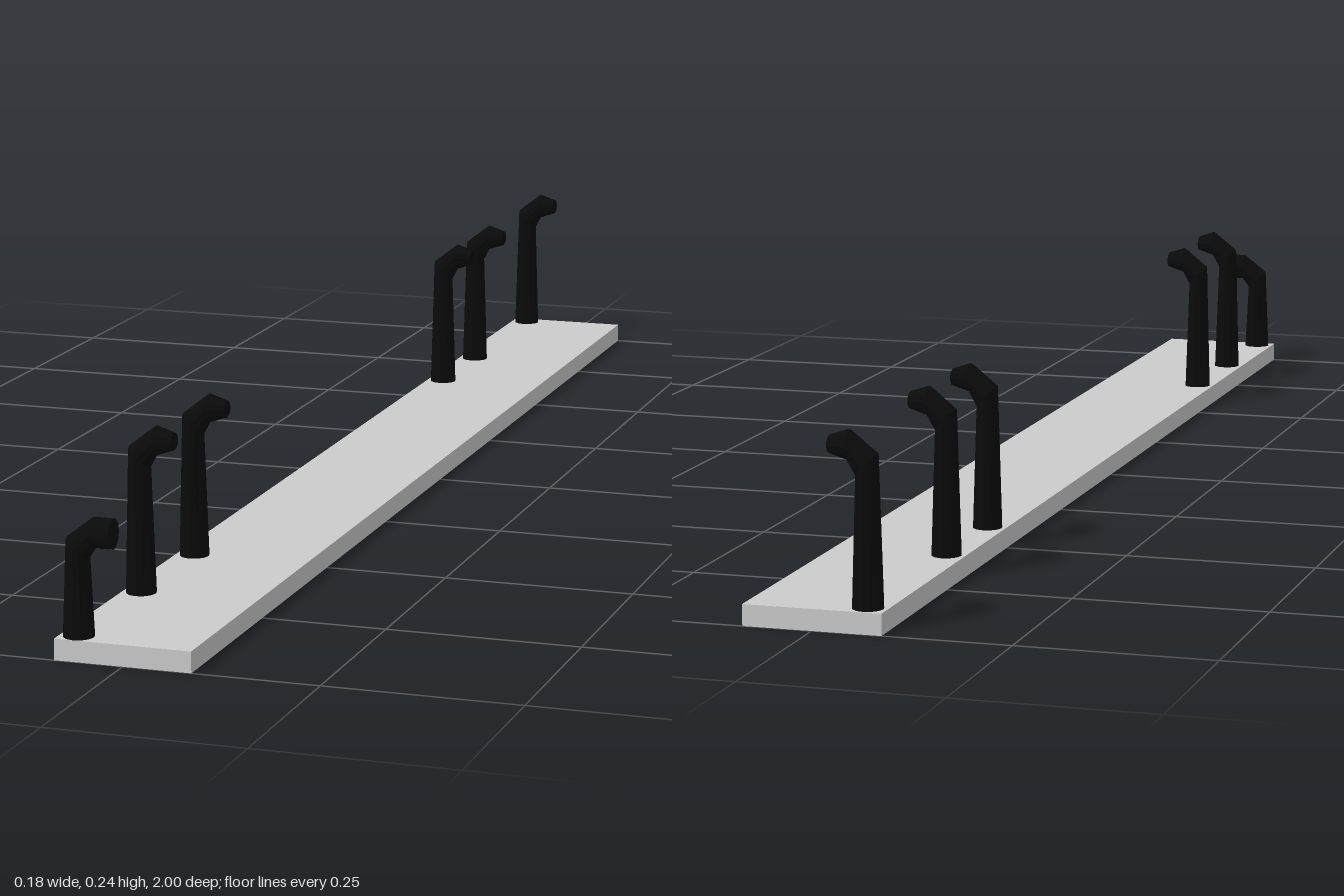
import * as THREE from 'three';

const SIDES = 12;

// Lofts elliptical rings; each ring is [outerX, outerY, innerX, innerY, halfDepth].
function bentPipe(rings) {
  const pos = [], index = [];
  for (const [ox, oy, ix, iy, d] of rings) {
    const cx = (ox + ix) / 2, cy = (oy + iy) / 2;
    for (let j = 0; j < SIDES; j++) {
      const a = (j / SIDES) * Math.PI * 2, c = Math.cos(a);
      pos.push(cx + (ox - cx) * c, cy + (oy - cy) * c, d * Math.sin(a));
    }
  }
  for (let i = 0; i < rings.length - 1; i++) {
    for (let j = 0; j < SIDES; j++) {
      const k = (j + 1) % SIDES, r = i * SIDES, s = r + SIDES;
      index.push(r + j, r + k, s + k, r + j, s + k, s + j);
    }
  }
  // closed foot and mouth
  const last = (rings.length - 1) * SIDES;
  for (let j = 1; j < SIDES - 1; j++) {
    index.push(0, j + 1, j, last, last + j, last + j + 1);
  }
  const g = new THREE.BufferGeometry();
  g.setAttribute('position', new THREE.Float32BufferAttribute(pos, 3));
  g.setIndex(index);
  const flat = g.toNonIndexed();
  flat.computeVertexNormals();
  return flat;
}

export function createModel() {
  const group = new THREE.Group();
  const grey = new THREE.MeshStandardMaterial({ color: 0xcccccc });
  const black = new THREE.MeshStandardMaterial({ color: 0x0a0a0a, flatShading: true });

  // long flat base
  const base = new THREE.Mesh(new THREE.BoxGeometry(0.176, 0.027, 2), grey);
  base.name = 'baseSlab';
  base.position.y = 0.0135;
  group.add(base);

  // tall pipes with a narrowing, drooping tip
  const tall = bentPipe([
    [-0.083, 0.025, -0.044, 0.025, 0.02],
    [-0.077, 0.215, -0.05, 0.187, 0.018],
    [-0.041, 0.243, -0.041, 0.205, 0.018],
    [-0.017, 0.235, -0.017, 0.213, 0.013],
  ]);
  [0.775, 0.587, -0.505, -0.677, -0.977].forEach((z, i) => {
    const pipe = new THREE.Mesh(tall, black);
    pipe.name = 'tallPipe' + (i + 1);
    pipe.position.z = z;
    group.add(pipe);
  });

  // short pipe with a straight, level mouth
  const short = bentPipe([
    [-0.083, 0.025, -0.044, 0.025, 0.02],
    [-0.077, 0.15, -0.049, 0.124, 0.018],
    [-0.042, 0.177, -0.04, 0.138, 0.018],
    [-0.017, 0.177, -0.017, 0.138, 0.018],
  ]);
  const shortPipe = new THREE.Mesh(short, black);
  shortPipe.name = 'shortPipe';
  shortPipe.position.z = 0.98;
  group.add(shortPipe);

  return group;
}
